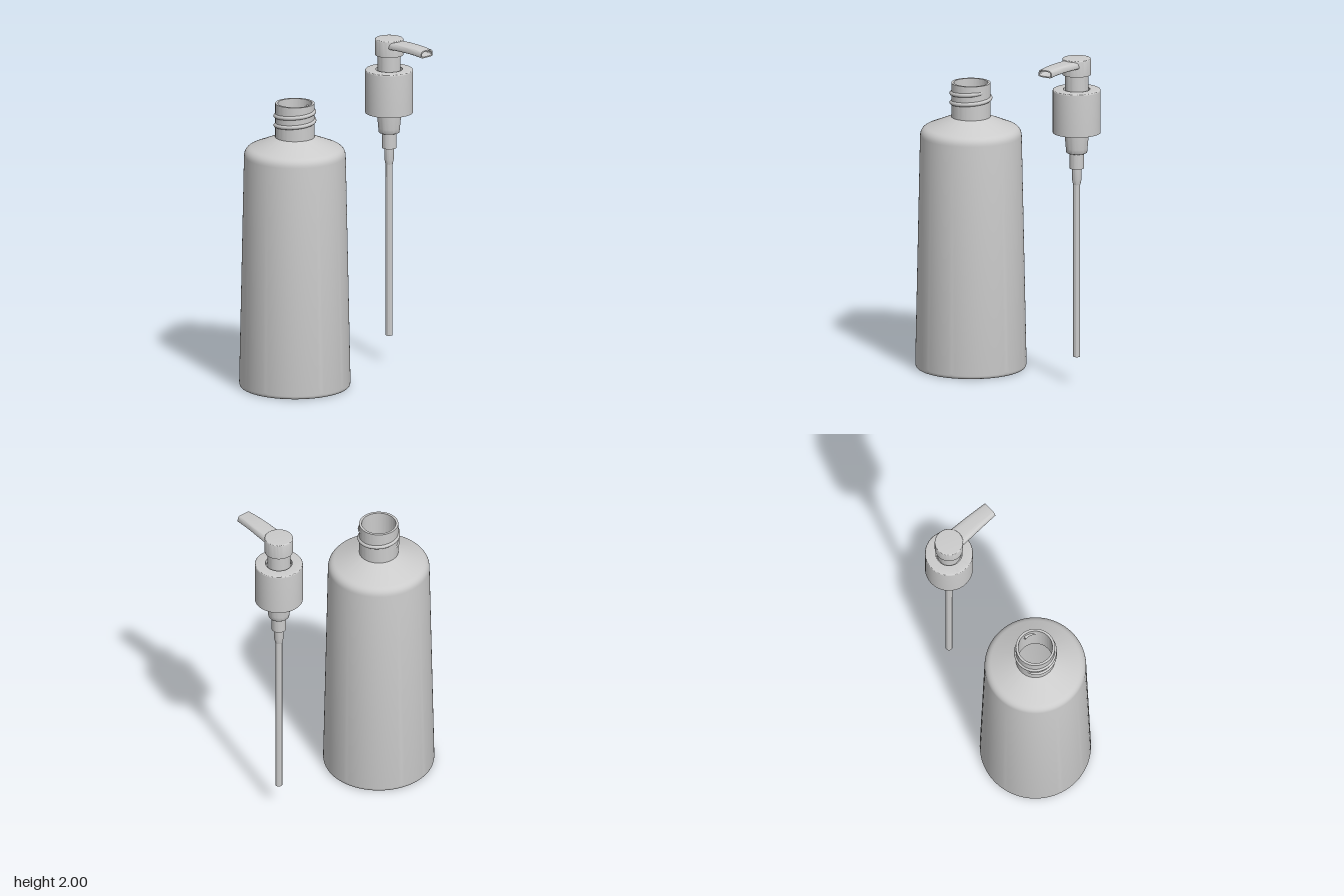
import * as THREE from 'three';
import { toCreasedNormals } from 'three/addons/utils/BufferGeometryUtils.js';

const material = new THREE.MeshStandardMaterial({ color: 0xcccccc, side: THREE.DoubleSide });

function part(name, geometry) {
  const mesh = new THREE.Mesh(geometry, material);
  mesh.name = name;
  return mesh;
}

// Profile of [radius, y] points; an optional third number rounds that corner.
function lathe(name, profile, segments = 64) {
  const pts = [];
  profile.forEach(([r, y, round], i) => {
    const p = new THREE.Vector2(r, y);
    if (!round) return pts.push(p);
    const toward = ([a, b]) => {
      const d = new THREE.Vector2(a, b).sub(p);
      return d.setLength(Math.min(round, d.length() * 0.5)).add(p);
    };
    const curve = new THREE.QuadraticBezierCurve(toward(profile[i - 1]), p, toward(profile[i + 1]));
    pts.push(...curve.getPoints(6));
  });
  return part(name, toCreasedNormals(new THREE.LatheGeometry(pts, segments), 0.6));
}

// Screw thread that sinks into the neck at both ends.
class Helix extends THREE.Curve {
  constructor(radius, y0, y1, turns) {
    super();
    Object.assign(this, { radius, y0, y1, turns });
  }
  getPoint(t, target = new THREE.Vector3()) {
    const a = t * this.turns * Math.PI * 2 - Math.PI / 2;
    const r = this.radius - 0.015 * (1 - Math.min(1, 12 * t, 12 * (1 - t)));
    return target.set(r * Math.sin(a), this.y0 + (this.y1 - this.y0) * t, r * Math.cos(a));
  }
}

// Rounded-rectangle sections [x, centre y, half height, half width] joined along x.
function loftX(sections, n = 32) {
  const pos = [], index = [];
  const soft = (v) => Math.sign(v) * Math.pow(Math.abs(v), 0.45);
  for (const [x, y, h, w] of sections) {
    for (let i = 0; i < n; i++) {
      const a = (i / n) * Math.PI * 2;
      const dy = soft(Math.sin(a));
      pos.push(x, y + h * dy, w * (1 - 0.08 * dy) * soft(Math.cos(a)));
    }
  }
  for (let s = 0; s < sections.length - 1; s++) {
    for (let i = 0; i < n; i++) {
      const a = s * n + i, b = s * n + (i + 1) % n;
      index.push(a, b, a + n, b, b + n, a + n);
    }
  }
  const g = new THREE.BufferGeometry();
  g.setAttribute('position', new THREE.Float32BufferAttribute(pos, 3));
  g.setIndex(index);
  return toCreasedNormals(g, 0.7);
}

function createBottle() {
  const bottle = new THREE.Group();
  bottle.name = 'bottle';
  // Outer wall, neck, lip and inner wall in one profile
  bottle.add(lathe('bottleBody', [
    [0, 0.006], [0.28, 0.006], [0.295, 0], [0.332, 0, 0.03], [0.302, 1.458, 0.04], [0.117, 1.534],
    [0.117, 1.742], [0.102, 1.742], [0.102, 1.525], [0.287, 1.447, 0.04],
    [0.317, 0.016, 0.03], [0, 0.016],
  ], 96));
  bottle.add(part('neckThread',
    new THREE.TubeGeometry(new Helix(0.115, 1.6, 1.7, 1.75), 140, 0.013, 10)));
  bottle.position.z = 0.29;
  return bottle;
}

function createPump() {
  const pump = new THREE.Group();
  pump.name = 'pump';
  // Hollow screw cap with a recess around the stem
  pump.add(lathe('screwCap', [
    [0.074, 1.775], [0.124, 1.775], [0.124, 1.545], [0.143, 1.545],
    [0.143, 1.81, 0.01], [0.08, 1.81], [0.08, 1.785], [0.074, 1.785],
  ]));
  pump.add(lathe('stem', [[0, 1.78], [0.069, 1.78], [0.069, 1.905], [0, 1.905]], 48));
  pump.add(lathe('pumpHead', [[0, 1.9], [0.085, 1.9], [0.085, 2, 0.009], [0, 2]]));
  // Stepped chamber below the cap
  pump.add(lathe('pumpChamber', [
    [0, 1.325], [0.043, 1.325], [0.043, 1.42], [0.062, 1.42, 0.006], [0.065, 1.45],
    [0.073, 1.54], [0.073, 1.78], [0, 1.78],
  ], 48));
  pump.add(lathe('tubeConnector', [
    [0.016, 1.225], [0.022, 1.225], [0.028, 1.255], [0.028, 1.33], [0, 1.33],
  ], 32));
  // Open dip tube
  pump.add(lathe('dipTube', [
    [0.015, 1.25], [0.015, 0.17], [0.021, 0.17], [0.021, 1.25],
  ], 24));
  // Gently arched spout with a hollow tip
  pump.add(part('spout', loftX([
    [0.03, 1.968, 0.022, 0.06], [0.09, 1.971, 0.022, 0.058], [0.15, 1.973, 0.022, 0.056],
    [0.21, 1.974, 0.022, 0.053], [0.27, 1.972, 0.022, 0.05], [0.328, 1.967, 0.022, 0.047],
    [0.328, 1.967, 0.015, 0.039], [0.25, 1.973, 0.015, 0.041], [0.25, 1.973, 0, 0],
  ])));
  pump.position.z = -0.48;
  return pump;
}

export function createModel() {
  const model = new THREE.Group();
  model.name = 'pumpDispenser';
  model.add(createBottle(), createPump());
  return model;
}
